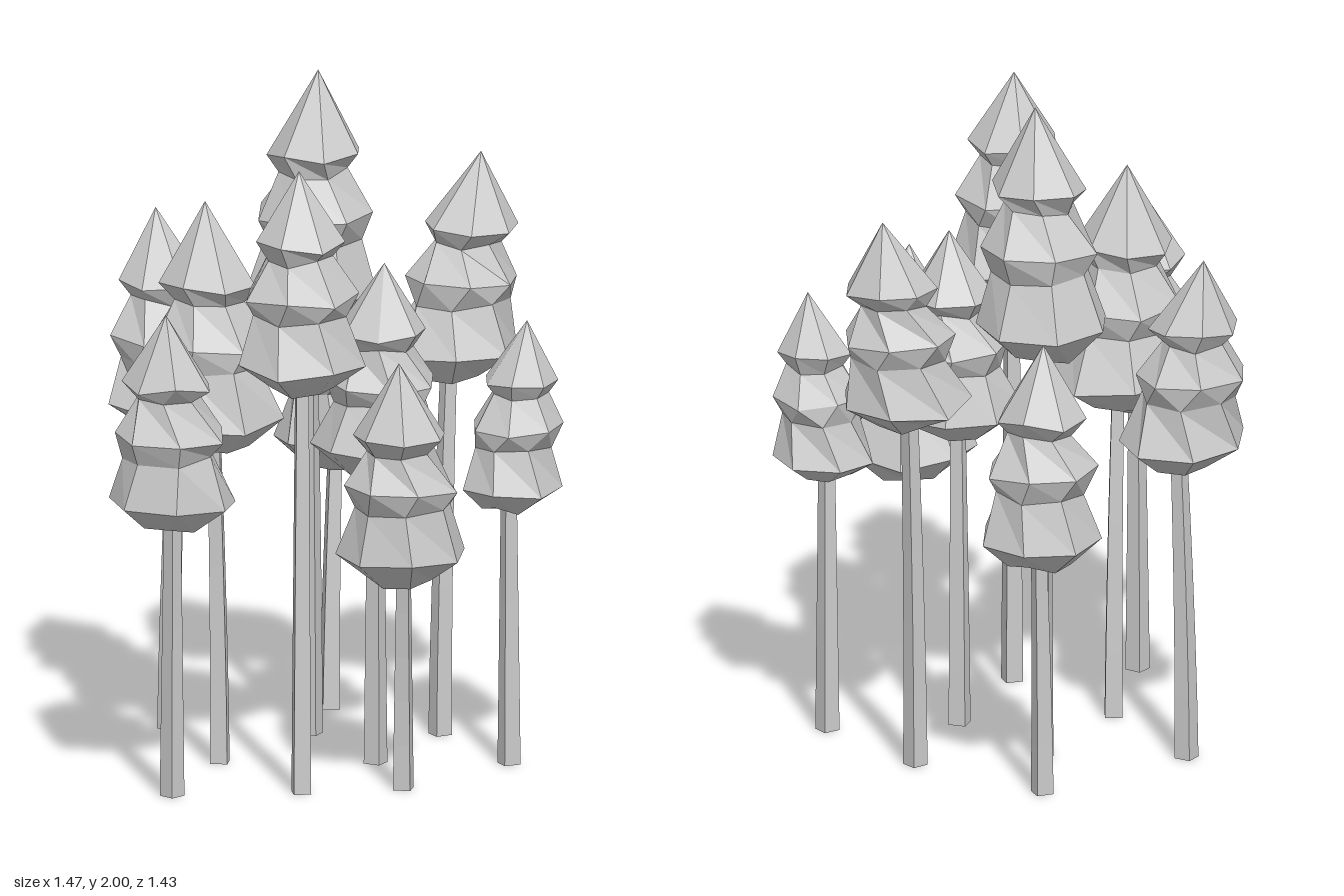
import * as THREE from 'three';

const bark = new THREE.MeshStandardMaterial({ color: 0xcccccc, flatShading: true });
const foliage = new THREE.MeshStandardMaterial({ color: 0xcccccc, flatShading: true });

// One row per tree: trunk foot, crown centre, crown tip, crown bottom, crown radius
const TREES = [
  { foot: [-0.21, -0.485], crown: [-0.20, -0.45], tip: [-0.22, 1.55, -0.56], bottom: 0.89, radius: 0.187 },
  { foot: [0.315, -0.51], crown: [0.35, -0.54], tip: [0.345, 1.40, -0.56], bottom: 0.71, radius: 0.184 },
  { foot: [0.14, -0.255], crown: [0.13, -0.25], tip: [0.15, 2.00, -0.23], bottom: 1.23, radius: 0.20 },
  { foot: [0.478, -0.092], crown: [0.53, -0.13], tip: [0.64, 1.72, -0.16], bottom: 1.06, radius: 0.19 },
  { foot: [-0.245, -0.055], crown: [-0.275, -0.04], tip: [-0.29, 1.69, -0.06], bottom: 0.94, radius: 0.203 },
  { foot: [-0.537, 0.25], crown: [-0.54, 0.26], tip: [-0.58, 1.46, 0.30], bottom: 0.80, radius: 0.187 },
  { foot: [-0.18, 0.375], crown: [-0.175, 0.37], tip: [-0.19, 1.87, 0.38], bottom: 1.20, radius: 0.19 },
  { foot: [0.165, 0.14], crown: [0.155, 0.165], tip: [0.175, 1.51, 0.18], bottom: 0.88, radius: 0.187 },
  { foot: [0.515, 0.31], crown: [0.505, 0.33], tip: [0.55, 1.34, 0.36], bottom: 0.77, radius: 0.157 },
  { foot: [0.11, 0.455], crown: [0.075, 0.535], tip: [0.03, 1.32, 0.60], bottom: 0.63, radius: 0.19 },
];

// Crown tiers: [height fraction, radius fraction]
const TIERS = [[0.02, 0.5], [0.13, 1], [0.35, 0.74], [0.44, 0.89], [0.61, 0.53], [0.68, 0.71]];

// Small seeded generator, returns -1..1
function seeded(seed) {
  let s = seed;
  return () => {
    s = (s * 16807) % 2147483647;
    return (s / 2147483647) * 2 - 1;
  };
}

// Skin a stack of rings (arrays of Vector3, bottom to top) with a point closing each end
function skin(start, rings, end) {
  const n = rings[0].length;
  const points = [start, ...rings.flat(), end];
  const index = [];
  const at = (r, i) => 1 + r * n + (i % n);
  for (let i = 0; i < n; i++) {
    index.push(0, at(0, i + 1), at(0, i));
    for (let r = 0; r < rings.length - 1; r++) {
      const a = at(r, i), b = at(r, i + 1), c = at(r + 1, i + 1), d = at(r + 1, i);
      index.push(a, b, d, b, c, d);
    }
    index.push(at(rings.length - 1, i), at(rings.length - 1, i + 1), points.length - 1);
  }
  const geometry = new THREE.BufferGeometry().setFromPoints(points);
  geometry.setIndex(index);
  const flat = geometry.toNonIndexed();
  flat.computeVertexNormals();
  return flat;
}

// Horizontal ring; wobble() gives [radius scale, height offset] per corner
function ring(center, radius, sides, turn, wobble = () => [1, 0]) {
  return Array.from({ length: sides }, (_, i) => {
    const a = turn + (i / sides) * Math.PI * 2;
    const [k, dy] = wobble();
    return new THREE.Vector3(
      center.x + Math.cos(a) * radius * k,
      center.y + dy,
      center.z - Math.sin(a) * radius * k
    );
  });
}

// Slender square trunk, tapered, bending towards the crown
function trunkGeometry(foot, top, turn) {
  const rings = [];
  const steps = 5;
  for (let k = 0; k <= steps; k++) {
    const t = k / steps;
    const center = foot.clone().lerp(top, Math.pow(t, 1.6)).setY(top.y * t);
    rings.push(ring(center, 0.036 - 0.011 * t, 4, turn));
  }
  return skin(foot, rings, top);
}

// Three-tiered faceted crown leaning along a line from bottom to tip
function crownGeometry(bottom, tip, radius, turn, rand) {
  const rings = TIERS.map(([t, r]) => {
    const center = bottom.clone().lerp(tip, t);
    return ring(center, radius * r, 7, turn + rand() * 0.2,
      () => [1 + rand() * 0.06, rand() * 0.012]);
  });
  return skin(bottom, rings, tip);
}

export function createModel() {
  const model = new THREE.Group();
  model.name = 'treeGrove';

  TREES.forEach(({ foot, crown, tip, bottom, radius }, i) => {
    const rand = seeded(7919 * (i + 3));
    rand();
    const turn = rand() * Math.PI;
    const root = new THREE.Vector3(foot[0], 0, foot[1]);
    const base = new THREE.Vector3(
      THREE.MathUtils.lerp(crown[0], foot[0], 0.2),
      bottom,
      THREE.MathUtils.lerp(crown[1], foot[1], 0.2)
    );
    const trunkTop = base.clone().add(new THREE.Vector3(0, 0.05, 0));

    const tree = new THREE.Group();
    tree.name = `tree${i + 1}`;
    const trunk = new THREE.Mesh(trunkGeometry(root, trunkTop, turn), bark);
    trunk.name = 'trunk';
    const leaves = new THREE.Mesh(
      crownGeometry(base, new THREE.Vector3(...tip), radius, turn, rand), foliage);
    leaves.name = 'crown';
    tree.add(trunk, leaves);
    model.add(tree);
  });

  return model;
}
